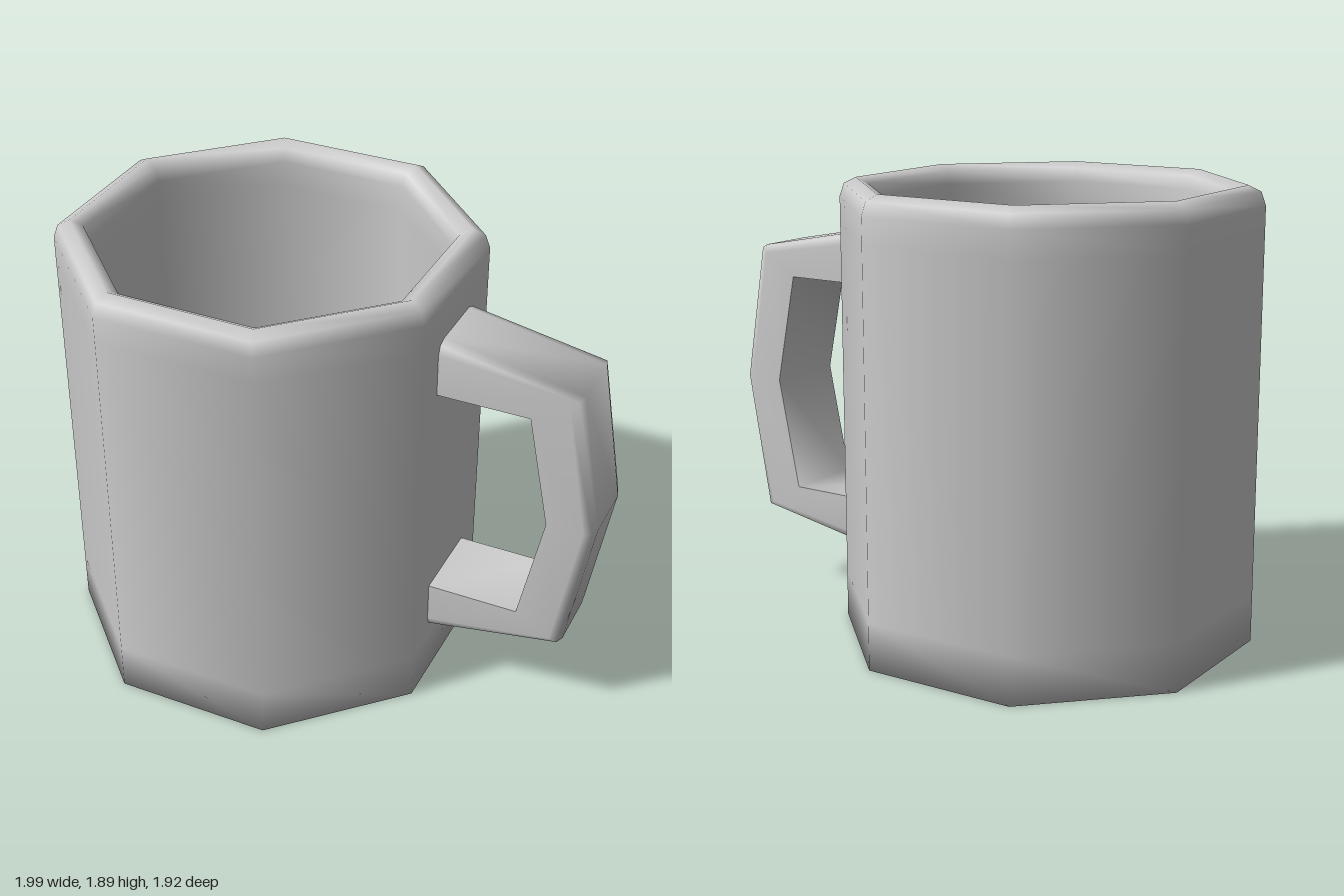
import * as THREE from 'three';

const SIDES = 8;
const CENTRE = [-0.19, -0.16];
const material = () => new THREE.MeshStandardMaterial({ color: 0xcccccc });

// Smooth surface through rows of points, each row an equal-length cross-section
function loft(rows) {
  const n = rows[0].length;
  const index = [];
  for (let i = 0; i < rows.length - 1; i++) {
    for (let j = 0; j < n - 1; j++) {
      const a = i * n + j, b = a + n;
      index.push(a, a + 1, b, a + 1, b + 1, b);
    }
  }
  const geometry = new THREE.BufferGeometry();
  geometry.setAttribute('position', new THREE.Float32BufferAttribute(rows.flat(2), 3));
  geometry.setIndex(index);
  geometry.computeVertexNormals();
  return geometry;
}

// Eight-sided cup: underside, outer wall, rounded rim, inner wall and floor
function createCup() {
  const profile = [
    [0, 0], [0.864, 0], [0.864, 0.2], [0.864, 1.7], [0.864, 1.81], [0.845, 1.865],
    [0.794, 1.89], [0.743, 1.865], [0.724, 1.81], [0.724, 1.7],
    [0.724, 0.25], [0.724, 0.13], [0, 0.13],
  ].map(([r, y]) => new THREE.Vector2(r, y));
  const cup = new THREE.Mesh(
    new THREE.LatheGeometry(profile, SIDES, THREE.MathUtils.degToRad(24.6)),
    material()
  );
  cup.name = 'cup';
  return cup;
}

// Angular handle: rounded outer corners, flat inner face
function createHandle() {
  // Stations from top to bottom: inner [radius, y], outer [radius, y]
  const stations = [
    [[0.79, 1.42], [0.79, 1.65]],
    [[1.18, 1.42], [1.37, 1.54]],
    [[1.275, 0.95], [1.47, 0.95]],
    [[1.18, 0.475], [1.37, 0.36]],
    [[0.79, 0.475], [0.79, 0.25]],
  ];
  // Half section: [fraction from inner to outer, sideways offset]
  const half = [[0, 0.18], [0.78, 0.18], [0.94, 0.165], [1, 0.125]];
  const section = [
    ...half.map(([f, s]) => [f, -s]),
    ...half.slice().reverse(),
  ];
  const place = ([inner, outer], [f, s]) => [
    inner[0] + (outer[0] - inner[0]) * f,
    inner[1] + (outer[1] - inner[1]) * f,
    s,
  ];
  const surface = (name, points) => {
    const mesh = new THREE.Mesh(loft(stations.map((st) => points.map((p) => place(st, p)))), material());
    mesh.name = name;
    return mesh;
  };
  const handle = new THREE.Group();
  handle.name = 'handle';
  handle.add(
    surface('handleOuter', section),
    surface('handleInner', [[0, 0.18], [0, -0.18]])
  );
  // Centred on one flat side of the cup
  handle.rotation.y = -THREE.MathUtils.degToRad(42.9);
  return handle;
}

export function createModel() {
  const mug = new THREE.Group();
  mug.name = 'mug';
  const body = new THREE.Group();
  body.name = 'body';
  body.position.set(CENTRE[0], 0, CENTRE[1]);
  body.add(createCup(), createHandle());
  mug.add(body);
  return mug;
}
